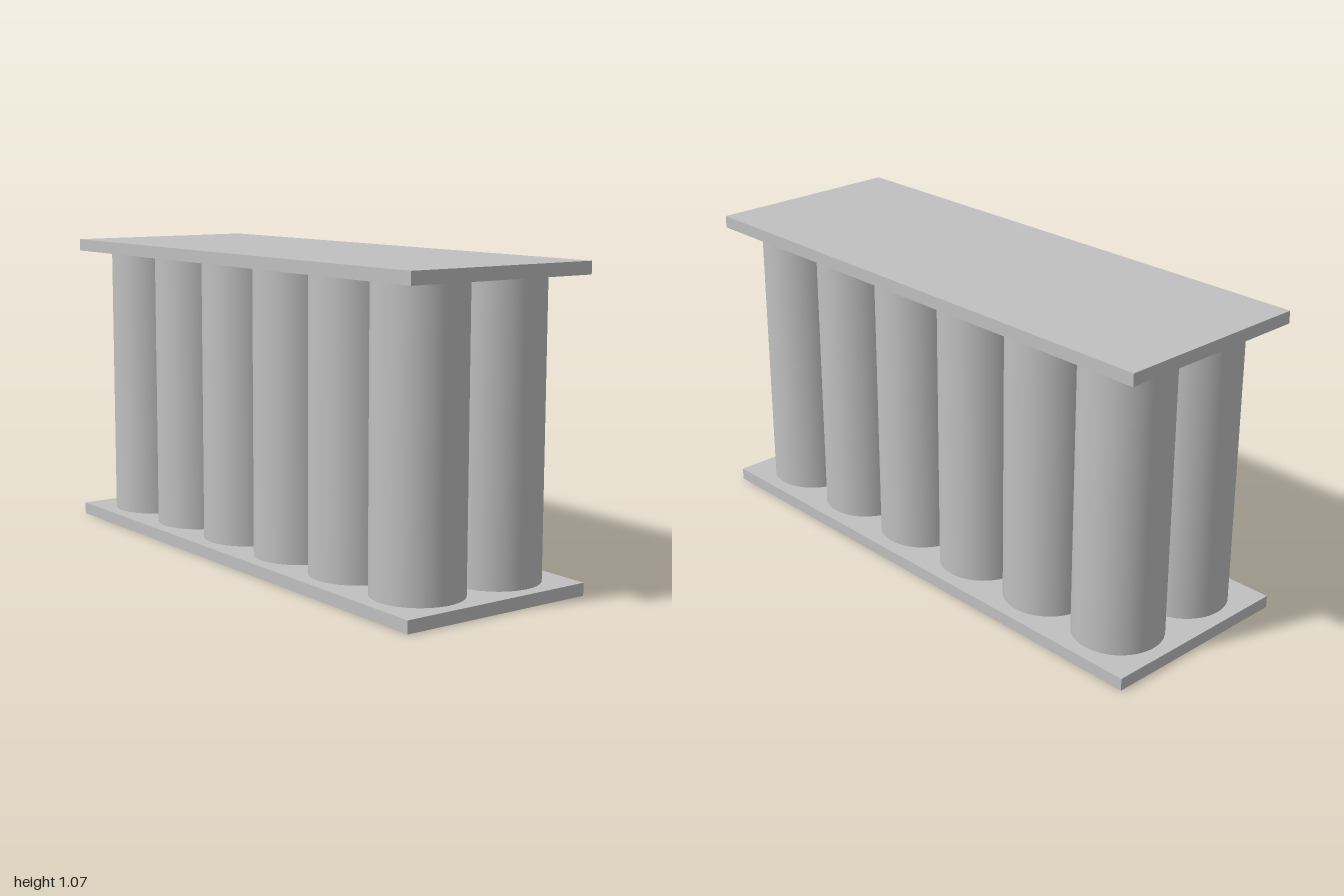
import * as THREE from 'three';

export function createModel() {
  const group = new THREE.Group();
  const grey = new THREE.MeshStandardMaterial({ color: 0xc0c0c0 });
  grey.name = 'light grey';

  const height = 1.073, plateThickness = 0.043;
  const radius = 0.154, pitch = 0.319;
  const columns = 6, rows = 2;

  // Flat end plates
  const plateGeometry = new THREE.BoxGeometry(2, plateThickness, 0.725);
  const addPlate = (name, y) => {
    const plate = new THREE.Mesh(plateGeometry, grey);
    plate.name = name;
    plate.position.y = y;
    group.add(plate);
  };
  addPlate('bottomPlate', plateThickness / 2);
  addPlate('topPlate', height - plateThickness / 2);

  // Two rows of upright cylinders between the plates
  const cells = new THREE.Group();
  cells.name = 'cylinders';
  const cellGeometry = new THREE.CylinderGeometry(radius, radius, height - 2 * plateThickness, 64);
  for (let row = 0; row < rows; row++) {
    for (let column = 0; column < columns; column++) {
      const cell = new THREE.Mesh(cellGeometry, grey);
      cell.name = `cylinder${row * columns + column + 1}`;
      cell.position.set(
        (column - (columns - 1) / 2) * pitch,
        height / 2,
        (row - (rows - 1) / 2) * pitch
      );
      cells.add(cell);
    }
  }
  group.add(cells);

  return group;
}
